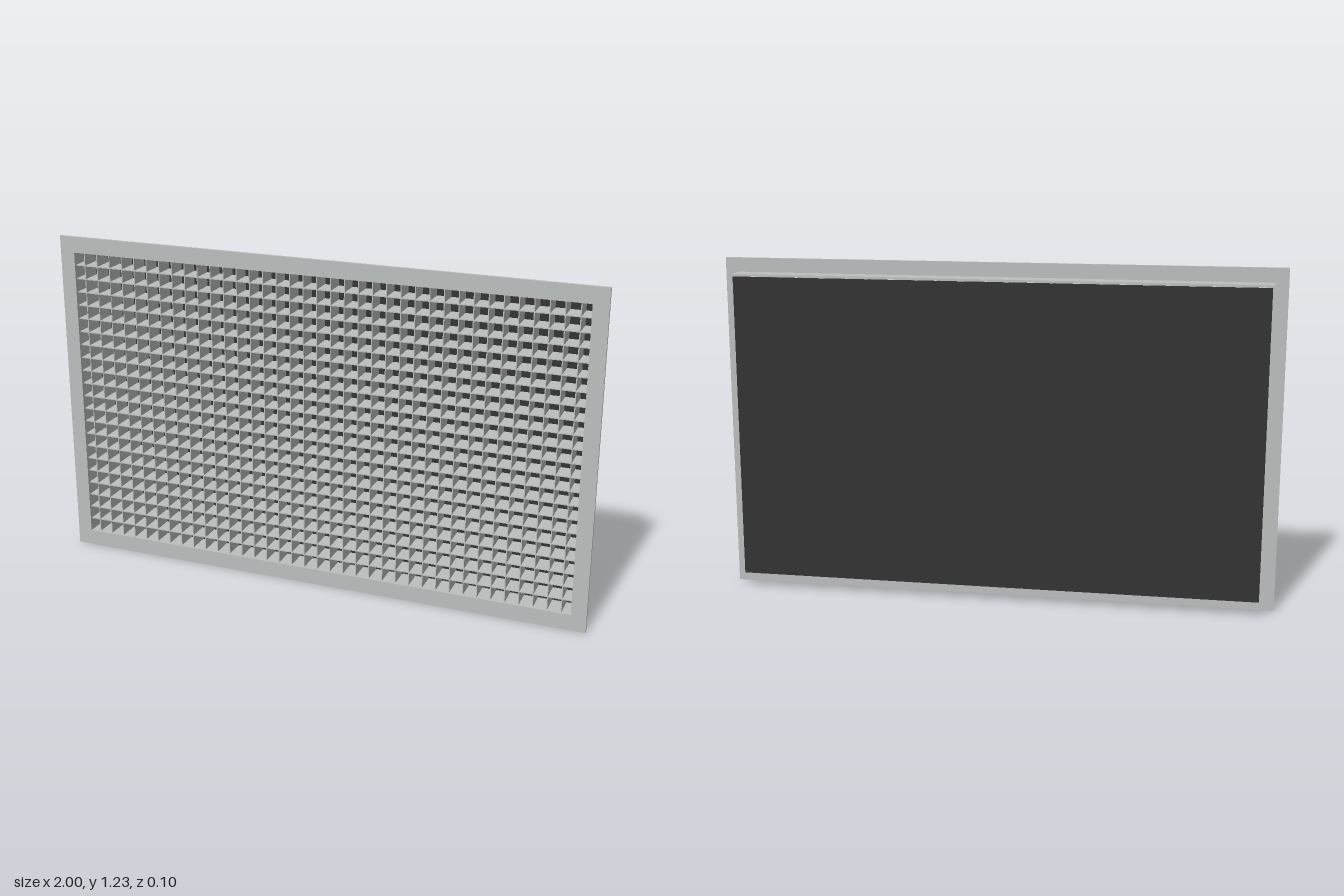
import * as THREE from 'three';

const H = 1.225, MID = H / 2;
const OPEN_W = 1.89, OPEN_H = 1.107;   // clear opening
const PITCH = 0.0505, BLADE = 0.0036;  // grid spacing and blade thickness
const FRONT = 0.048, FLANGE_BACK = 0.038, NECK_BACK = -0.038;

// Rectangular ring with the clear opening cut out, extruded from z0 to z1
function ring(w, h, z0, z1) {
  const rect = (P, a, b) => {
    const p = new P();
    p.moveTo(-a / 2, -b / 2);
    p.lineTo(a / 2, -b / 2);
    p.lineTo(a / 2, b / 2);
    p.lineTo(-a / 2, b / 2);
    p.closePath();
    return p;
  };
  const shape = rect(THREE.Shape, w, h);
  shape.holes.push(rect(THREE.Path, OPEN_W, OPEN_H));
  const geo = new THREE.ExtrudeGeometry(shape, { depth: z1 - z0, bevelEnabled: false });
  return geo.translate(0, MID, z0);
}

export function createModel() {
  const group = new THREE.Group();
  group.name = 'ventGrille';

  const metal = new THREE.MeshStandardMaterial({ color: 0xbbbfbe });
  metal.name = 'light grey metal';
  const dark = new THREE.MeshStandardMaterial({ color: 0x343434 });
  dark.name = 'dark backing';

  const add = (name, geo, mat, x = 0, y = 0, z = 0, parent = group) => {
    const mesh = new THREE.Mesh(geo, mat);
    mesh.name = name;
    mesh.position.set(x, y, z);
    parent.add(mesh);
  };

  // Flat face flange and the duct neck behind it
  add('flange', ring(2, H, FLANGE_BACK, FRONT), metal);
  add('neck', ring(1.904, 1.123, NECK_BACK, FLANGE_BACK), metal);

  // Egg-crate core: crossing blades, symmetric about the centre
  const core = new THREE.Group();
  core.name = 'eggCrateCore';
  group.add(core);
  const depth = FLANGE_BACK - NECK_BACK;
  const upright = new THREE.BoxGeometry(BLADE, OPEN_H, depth);
  const level = new THREE.BoxGeometry(OPEN_W, BLADE, depth);
  for (let i = -18; i <= 18; i++) add('verticalBlade', upright, metal, i * PITCH, MID, 0, core);
  for (let j = -10; j <= 10; j++) add('horizontalBlade', level, metal, 0, MID + j * PITCH, 0, core);

  // Thin dark panel standing just clear of the neck
  add('backPanel', new THREE.BoxGeometry(1.89, 1.107, 0.006), dark, 0, MID, -0.045);

  return group;
}
